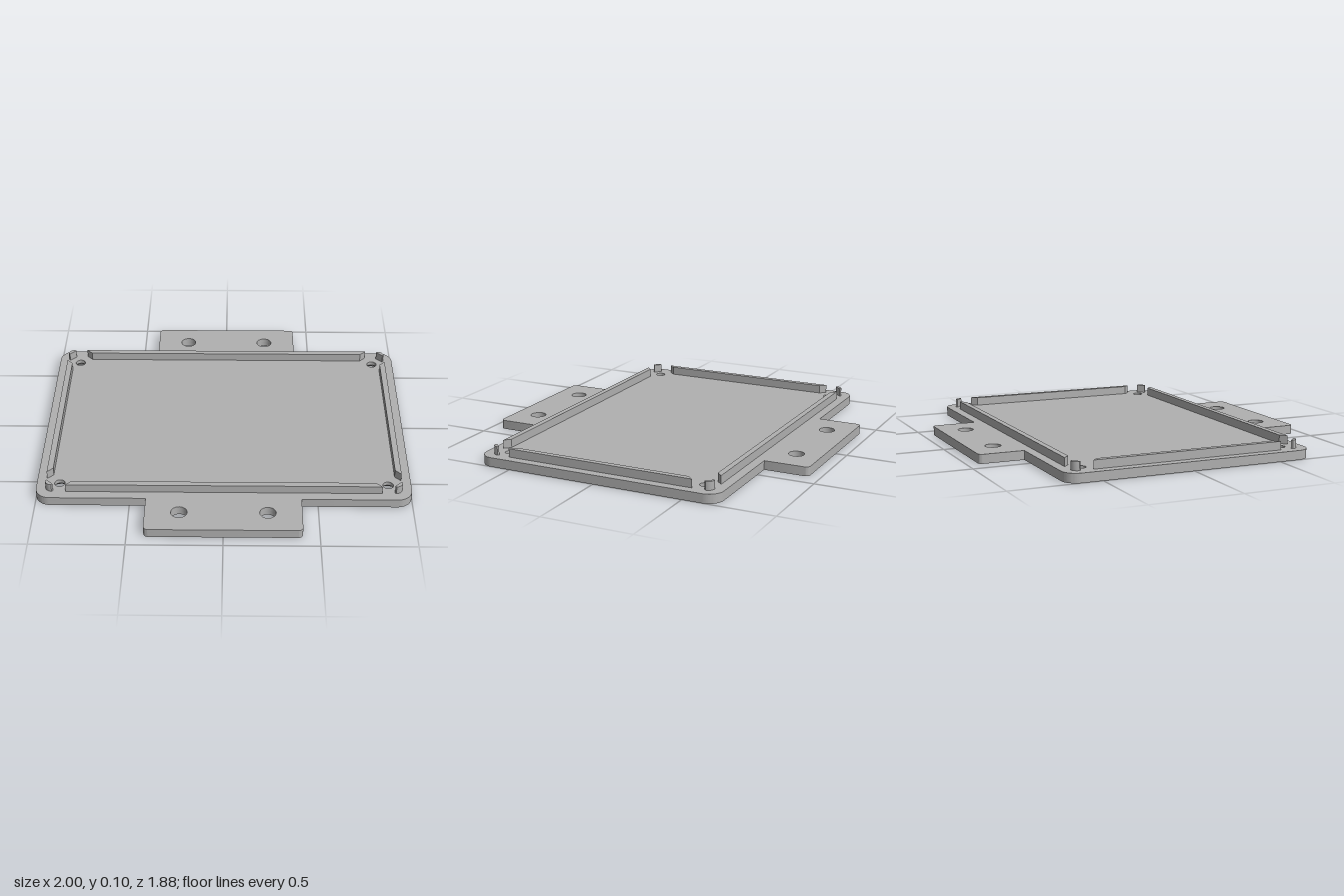
import * as THREE from 'three';
import { toCreasedNormals } from 'three/addons/utils/BufferGeometryUtils.js';

const W = 1, D = 0.691;             // half size of the main plate
const TAB_W = 0.412, TAB_D = 0.938; // half size across the mounting tabs
const THICK = 0.05, SINK = 0.028, RIB_TOP = 0.096;
const SCREW = { x: 0.877, z: 0.57, r: 0.028, head: 0.056 };
const MOUNT = { x: 0.232, z: 0.8, r: 0.043 };
const SIGNS = [-1, 1];

const grey = new THREE.MeshStandardMaterial({ color: 0xb0b0b0 });
grey.name = 'grey plastic';

export function createModel() {
  const model = new THREE.Group();
  model.name = 'enclosureLid';

  const add = (name, geometry, parent = model) => {
    const mesh = new THREE.Mesh(toCreasedNormals(geometry, 0.6), grey);
    mesh.name = name;
    parent.add(mesh);
    return mesh;
  };

  // Extrude a plan shape upwards between two heights
  const slab = (shape, y0, y1) => {
    const g = new THREE.ExtrudeGeometry(shape, { depth: y1 - y0, bevelEnabled: false, curveSegments: 12 });
    return g.rotateX(-Math.PI / 2).translate(0, y0, 0);
  };

  // Plate outline with rounded corners and two tabs
  const plateShape = (screwRadius) => {
    const R = 0.08, r = 0.025;
    const s = new THREE.Shape();
    s.moveTo(-W + R, -D);
    s.lineTo(-TAB_W, -D);
    s.lineTo(-TAB_W, -TAB_D + r);
    s.absarc(-TAB_W + r, -TAB_D + r, r, Math.PI, Math.PI * 1.5);
    s.absarc(TAB_W - r, -TAB_D + r, r, Math.PI * 1.5, Math.PI * 2);
    s.lineTo(TAB_W, -D);
    s.absarc(W - R, -D + R, R, Math.PI * 1.5, Math.PI * 2);
    s.absarc(W - R, D - R, R, 0, Math.PI / 2);
    s.lineTo(TAB_W, D);
    s.absarc(TAB_W - r, TAB_D - r, r, 0, Math.PI / 2);
    s.absarc(-TAB_W + r, TAB_D - r, r, Math.PI / 2, Math.PI);
    s.lineTo(-TAB_W, D);
    s.absarc(-W + R, D - R, R, Math.PI / 2, Math.PI);
    s.absarc(-W + R, -D + R, R, Math.PI, Math.PI * 1.5);
    const hole = (x, z, radius) => s.holes.push(new THREE.Path().absarc(x, z, radius, 0, Math.PI * 2, true));
    for (const sx of SIGNS) for (const sz of SIGNS) {
      hole(sx * SCREW.x, sz * SCREW.z, screwRadius);
      hole(sx * MOUNT.x, sz * MOUNT.z, MOUNT.r);
    }
    return s;
  };

  // Two layers, so the screw holes can widen underneath
  const plate = new THREE.Group();
  plate.name = 'plate';
  model.add(plate);
  add('plateLower', slab(plateShape(SCREW.head), 0, SINK), plate);
  add('plateUpper', slab(plateShape(SCREW.r), SINK, THICK), plate);

  // Ribs with angled ends
  const rib = (points) => slab(new THREE.Shape(points.map(([x, z]) => new THREE.Vector2(x, z))), THICK, RIB_TOP);
  for (const s of SIGNS) {
    add(s > 0 ? 'backRib' : 'frontRib',
      rib([[-0.84, s * 0.639], [0.84, s * 0.639], [0.808, s * 0.607], [-0.808, s * 0.607]]));
    add(s > 0 ? 'leftRib' : 'rightRib',
      rib([[s * 0.949, -0.532], [s * 0.949, 0.532], [s * 0.917, 0.5], [s * 0.917, -0.5]]));
  }

  for (const sx of SIGNS) for (const sz of SIGNS) {
    // Conical countersink, facing inwards
    const cone = new THREE.LatheGeometry(
      [new THREE.Vector2(SCREW.r, SINK), new THREE.Vector2(SCREW.head, 0)], 24);
    add('countersink', cone.translate(sx * SCREW.x, 0, sz * SCREW.z));

    // Thin corner post, rounded on the outside
    const cx = 0.914, cz = 0.604, r = 0.035, inset = 0.007;
    const points = [];
    for (let i = 0; i <= 6; i++) {
      const a = (i / 6) * Math.PI / 2;
      points.push([sx * (cx + r * Math.cos(a)), sz * (cz + r * Math.sin(a))]);
    }
    points.push([sx * (cx - inset), sz * (cz + r - inset)], [sx * (cx + r - inset), sz * (cz - inset)]);
    add('cornerPost', rib(points));
  }
  // Show the countersink walls whichever way they are wound
  grey.side = THREE.DoubleSide;
  return model;
}
